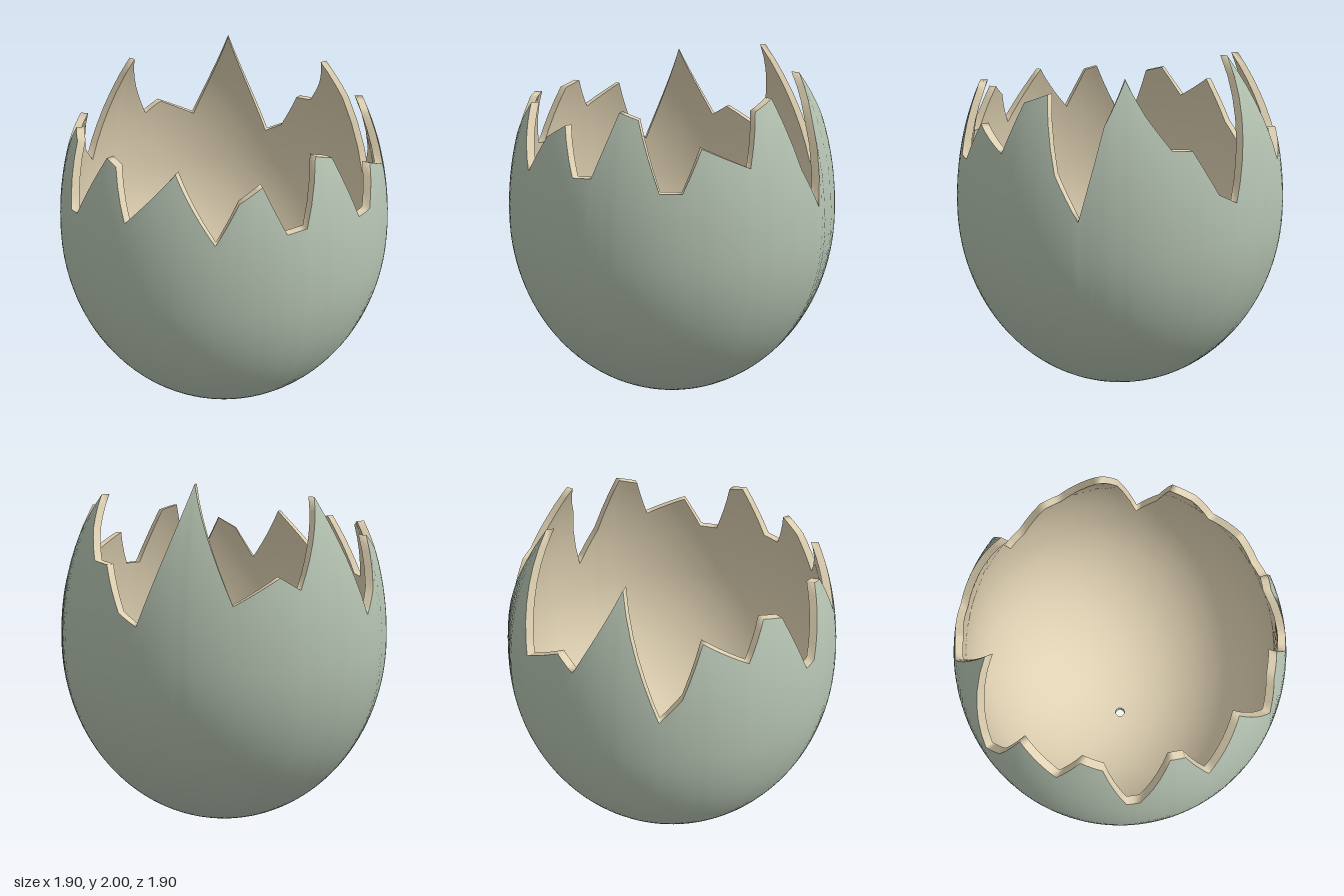
import * as THREE from 'three';

// Broken edge: [angle in degrees from the front towards +x, height]
const RIM = [
  [0, 1.49], [7.4, 1.81], [14.7, 1.78], [22.7, 1.44], [29.7, 1.44], [36.3, 1.65], [52.5, 1.54],
  [58, 1.8], [67.5, 1.85], [74.5, 1.48], [82.7, 1.26], [90, 1.72], [97.4, 1.93], [104.5, 1.76],
  [112.5, 1.6], [119.7, 1.59], [128, 1.36], [135, 1.3], [150.7, 2], [166, 1.42], [181.5, 1.55],
  [188.3, 1.485], [203, 1.93], [217.8, 1.31], [225, 1.44], [232, 1.71], [247.2, 1.575],
  [255, 1.76], [263, 1.73], [271, 1.4], [275.5, 1.41], [286.5, 1.76], [292, 1.74], [299.5, 1.49],
  [316, 1.77], [330.2, 1.45], [337.8, 1.65], [345.8, 1.72], [353, 1.48], [360, 1.49],
];

const CENTRE_Y = 1.07;
const HOLE_R = 0.03;
const ROWS = 40;

// Egg skins: widest radius, depth below and height above the widest line
const OUTER = { r: 0.95, down: 1.07, up: 1.33 };
const INNER = { r: 0.905, down: 1.025, up: 1.31 };

// Columns follow every corner of the edge, with extra steps between them
function makeColumns() {
  const columns = [];
  for (let k = 0; k < RIM.length - 1; k++) {
    const [a0, y0] = RIM[k], [a1, y1] = RIM[k + 1];
    const steps = Math.ceil((a1 - a0) / 2.5);
    for (let s = 0; s < steps; s++) {
      const t = s / steps;
      columns.push({ a: THREE.MathUtils.degToRad(a0 + (a1 - a0) * t), y: y0 + (y1 - y0) * t });
    }
  }
  return columns;
}

// Point on a skin: t = 0 at the bottom hole, t = 1 at the broken edge
function skinPoint(skin, column, t) {
  const h = column.y - CENTRE_Y;
  const start = Math.asin(HOLE_R / skin.r);
  const phi = start + (Math.acos(-h / skin.up) - start) * t;
  const c = Math.cos(phi);
  const r = skin.r * Math.sin(phi);
  const y = CENTRE_Y - c * (c > 0 ? skin.down : skin.up);
  return [r * Math.sin(column.a), y, r * Math.cos(column.a)];
}

// Closed band of quads through rows of points
function band(columns, rows, pointAt, flip) {
  const n = columns.length, positions = [], index = [];
  for (let j = 0; j <= rows; j++) {
    for (const column of columns) positions.push(...pointAt(column, j / rows));
  }
  for (let j = 0; j < rows; j++) {
    for (let i = 0; i < n; i++) {
      const a = j * n + i, b = j * n + (i + 1) % n, c = b + n, d = a + n;
      if (flip) index.push(a, c, b, a, d, c);
      else index.push(a, b, c, a, c, d);
    }
  }
  const geometry = new THREE.BufferGeometry();
  geometry.setAttribute('position', new THREE.Float32BufferAttribute(positions, 3));
  geometry.setIndex(index);
  geometry.computeVertexNormals();
  return geometry;
}

export function createModel() {
  const group = new THREE.Group();
  group.name = 'brokenEggshell';
  const shellGreen = new THREE.MeshStandardMaterial({ color: 0xb3c1b0 });
  shellGreen.name = 'shellGreen';
  const innerCream = new THREE.MeshStandardMaterial({ color: 0xdfd1b2 });
  innerCream.name = 'innerCream';

  const columns = makeColumns();
  const add = (name, geometry, material) => {
    const mesh = new THREE.Mesh(geometry, material);
    mesh.name = name;
    group.add(mesh);
  };
  const across = (t) => (column, s) => skinPoint(s < 0.5 ? OUTER : INNER, column, t);

  // Outside and inside of the shell
  add('outerShell', band(columns, ROWS, (c, t) => skinPoint(OUTER, c, t), false), shellGreen);
  add('innerShell', band(columns, ROWS, (c, t) => skinPoint(INNER, c, t), true), innerCream);

  // Jagged broken edge and the wall of the small hole underneath
  add('brokenEdge', band(columns, 1, across(1), false), innerCream);
  add('bottomHoleWall', band(columns, 1, across(0), true), innerCream);
  return group;
}
